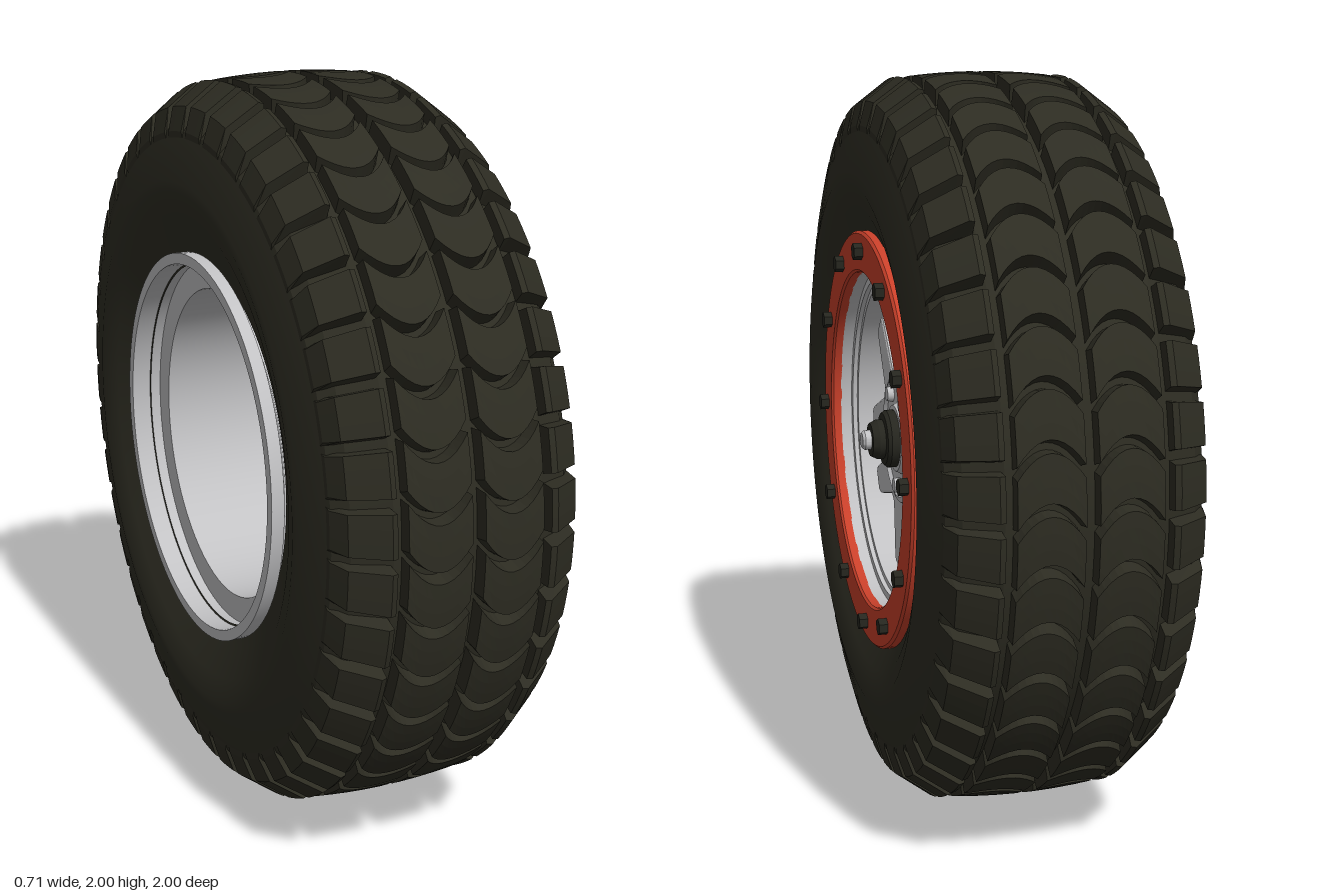
import * as THREE from 'three';
import { mergeGeometries, toCreasedNormals } from 'three/addons/utils/BufferGeometryUtils.js';

const mat = (name, color) => new THREE.MeshStandardMaterial({ name, color });

// Ring turned around the wheel axis (local z); profile is [radius, z]
function turned(profile, crease = 0.4, segments = 96) {
  const geo = new THREE.LatheGeometry(profile.map(([r, z]) => new THREE.Vector2(r, z)), segments);
  geo.rotateX(Math.PI / 2);
  return toCreasedNormals(geo, crease);
}

// Tread lug lofted across the tyre; each row is { u, top, base, a, b } with a..b its angular span
function lug(rows) {
  const pos = [], FOOT = 0.009, STEPS = 3;
  const pt = (u, t, r) => [r * Math.cos(t), r * Math.sin(t), u];
  const quad = (a, b, c, d) => pos.push(...a, ...b, ...c, ...a, ...c, ...d);
  const top = (w, k) => pt(w.u, w.a + (w.b - w.a) * k / STEPS, w.top);
  const foot = (w, k) => pt(w.u, w.a - FOOT + (w.b - w.a + 2 * FOOT) * k / STEPS, w.base);
  for (let i = 0; i < rows.length - 1; i++) {
    const p = rows[i], q = rows[i + 1];
    for (let k = 0; k < STEPS; k++) quad(top(p, k), top(p, k + 1), top(q, k + 1), top(q, k));
    quad(foot(p, STEPS), foot(q, STEPS), top(q, STEPS), top(p, STEPS));
    quad(foot(q, 0), foot(p, 0), top(p, 0), top(q, 0));
  }
  const f = rows[0], l = rows[rows.length - 1];
  for (let k = 0; k < STEPS; k++) {
    quad(foot(f, k), foot(f, k + 1), top(f, k + 1), top(f, k));
    quad(foot(l, k + 1), foot(l, k), top(l, k), top(l, k + 1));
  }
  const geo = new THREE.BufferGeometry();
  geo.setAttribute('position', new THREE.Float32BufferAttribute(pos, 3));
  geo.computeVertexNormals();
  return geo;
}

export function createModel() {
  const rubber = mat('rubber', 0x2d2c22);
  const silver = mat('silver', 0xc2c2c4);
  const red = mat('red', 0xc9402a);
  const dark = mat('darkMetal', 0x26261f);

  const model = new THREE.Group();
  model.name = 'wheel';
  const wheel = new THREE.Group(); // local z is the axle, pointing to the outer face
  wheel.name = 'wheelAssembly';
  wheel.rotation.y = Math.PI / 2;
  wheel.position.y = 1;
  model.add(wheel);
  const add = (name, geo, material, parent = wheel) => {
    const mesh = new THREE.Mesh(geo, material);
    mesh.name = name;
    parent.add(mesh);
    return mesh;
  };

  // Tyre carcass: one half profile, mirrored
  const half = [[0.5, 0.28], [0.56, 0.3], [0.64, 0.335], [0.705, 0.354], [0.73, 0.354],
    [0.86, 0.322], [0.9, 0.29], [0.948, 0.2], [0.955, 0.01]];
  add('tyreCarcass', turned([...half.map(([r, z]) => [r, -z]), ...half.slice().reverse()], 0.35), rubber);

  // Tread: scalloped crown lugs and straight shoulder lugs
  const COUNT = 42, PITCH = Math.PI * 2 / COUNT;
  const mirrorRows = rows => rows.map(w => ({ ...w, u: -w.u })).reverse();
  const crown = [];
  for (let i = 0; i <= 10; i++) {
    const t = i / 5 - 1, u = 0.099 + 0.082 * t;
    const shift = 0.062 * (1 - t * t);
    crown.push({ u, top: 1 - 0.01 * (u / 0.18) ** 2, base: 0.94, a: shift, b: shift + 0.118 });
  }
  const shoulder = [[0.207, 0.984, 0.93], [0.222, 0.988, 0.92], [0.308, 0.925, 0.87], [0.326, 0.86, 0.84]]
    .map(([u, top, base]) => ({ u, top, base, a: 0.02, b: 0.132 }));
  const lugs = [crown, mirrorRows(crown), shoulder, mirrorRows(shoulder)].map(lug);
  const ringOf = geos => {
    const all = [];
    for (let i = 0; i < COUNT; i++) for (const g of geos) all.push(g.clone().rotateZ(i * PITCH));
    return mergeGeometries(all);
  };
  add('crownTread', ringOf(lugs.slice(0, 2)), rubber);
  add('shoulderTread', ringOf(lugs.slice(2)), rubber);

  // Rim barrel with a stepped rear lip and front flange
  add('rimBarrel', turned([[0.505, -0.335], [0.535, -0.335], [0.535, -0.3], [0.47, -0.27], [0.47, 0.27],
    [0.57, 0.295], [0.57, 0.307], [0.465, 0.307], [0.465, 0.275], [0.445, 0.275], [0.445, 0.262],
    [0.43, 0.262], [0.43, -0.25], [0.505, -0.25], [0.505, -0.335]]), silver);

  // Red clamp ring with chamfered edges
  add('clampRing', turned([[0.465, 0.305], [0.577, 0.305], [0.577, 0.328], [0.57, 0.335],
    [0.471, 0.335], [0.465, 0.329], [0.465, 0.305]]), red);
  const boltGeo = new THREE.CylinderGeometry(0.023, 0.023, 0.026, 6).toNonIndexed();
  boltGeo.rotateX(Math.PI / 2);
  boltGeo.computeVertexNormals();
  for (let i = 0; i < 12; i++) {
    const t = i * Math.PI / 6;
    add('clampBolt', boltGeo, dark).position.set(0.525 * Math.cos(t), 0.525 * Math.sin(t), 0.346);
  }

  // Five forked spokes
  const side = [[0.02, 0.255], [0.122, 0.378], [0.135, 0.383], [0.182, 0.362], [0.186, 0.35],
    [0.105, 0.2], [0.085, 0.1]];
  const fork = new THREE.Shape([...side, ...side.map(([x, y]) => [-x, y]).reverse()]
    .map(([x, y]) => new THREE.Vector2(x, y)));
  const spokeGeo = new THREE.ExtrudeGeometry(fork,
    { depth: 0.08, bevelEnabled: true, bevelSize: 0.008, bevelThickness: 0.012, bevelSegments: 2 });
  for (let i = 0; i < 5; i++) {
    const spoke = add('spoke', spokeGeo, silver);
    spoke.position.z = 0.13;
    spoke.rotation.z = i * Math.PI * 0.4;
  }

  // Hub with a raised rim and a recessed face
  add('hub', turned([[0, 0.11], [0.17, 0.11], [0.19, 0.13], [0.19, 0.225], [0.18, 0.24], [0.165, 0.245],
    [0.155, 0.235], [0.1, 0.235], [0.092, 0.25], [0, 0.25]], 0.4, 48), silver);
  const nutGeo = new THREE.CylinderGeometry(0.02, 0.022, 0.02, 16).rotateX(Math.PI / 2);
  for (let i = 0; i < 5; i++) {
    const t = -Math.PI / 2 + i * Math.PI * 0.4;
    add('lugNut', nutGeo, silver).position.set(0.135 * Math.cos(t), 0.135 * Math.sin(t), 0.243);
  }

  // Centre cap and axle tip
  add('centreCap', turned([[0.08, 0.24], [0.08, 0.272], [0.072, 0.282], [0.055, 0.284], [0.055, 0.3],
    [0.046, 0.318], [0.022, 0.318]], 0.4, 32), dark);
  add('axleTip', turned([[0.027, 0.3], [0.027, 0.335], [0.021, 0.342], [0, 0.342]], 0.4, 24), silver);

  return model;
}
